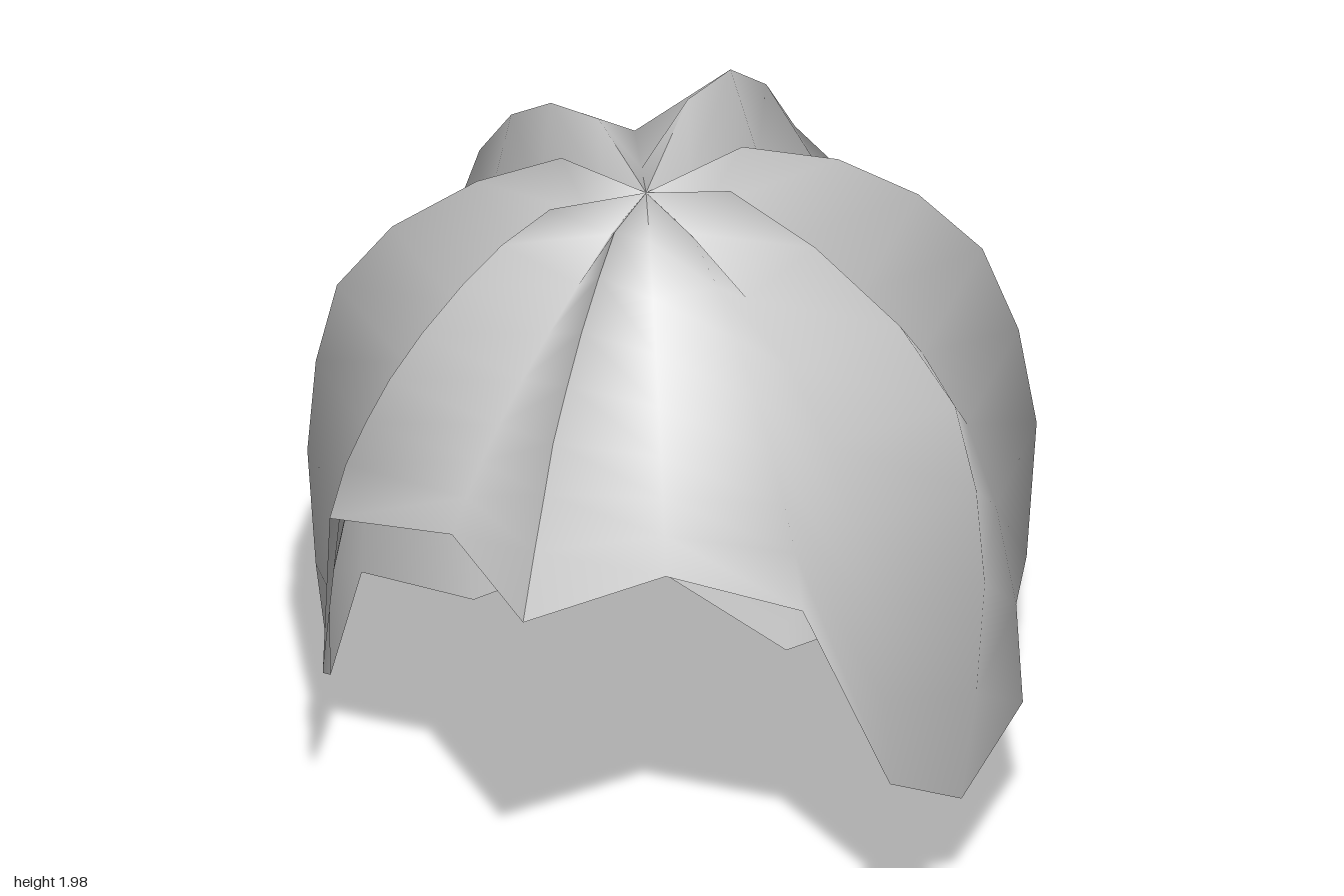
import * as THREE from 'three';

// Half the lock profiles, from front centre round to back centre.
// Each is radius, height pairs from the crown down to the hem; ridges and furrows alternate.
const PROFILES = [
  [.22, 1.96, .33, 1.91, .45, 1.84, .55, 1.76, .65, 1.67, .71, 1.57, .78, 1.46, .86, 1.32],
  [.12, 1.87, .23, 1.79, .33, 1.71, .42, 1.63, .50, 1.55, .56, 1.48, .61, 1.41, .66, 1.335],
  [.24, 1.95, .36, 1.89, .46, 1.81, .56, 1.71, .64, 1.61, .70, 1.51, .75, 1.41, .79, 1.275],
  [.13, 1.87, .30, 1.77, .43, 1.64, .54, 1.48, .62, 1.29, .67, 1.08, .71, .86, .725, .635],
  [.20, 1.97, .40, 1.86, .60, 1.69, .73, 1.50, .78, 1.28, .80, 1.03, .78, .72, .745, .425],
  [.13, 1.87, .32, 1.77, .48, 1.62, .62, 1.45, .72, 1.25, .785, 1.02, .83, .75, .845, .48],
  [.24, 1.97, .48, 1.86, .68, 1.70, .84, 1.50, .93, 1.25, .975, .98, .95, .62, .87, .245],
  [.15, 1.88, .38, 1.82, .60, 1.65, .80, 1.45, .93, 1.21, 1.00, .95, .99, .63, .92, .295],
  [.29, 1.98, .59, 1.86, .84, 1.65, 1.04, 1.40, 1.14, 1.10, 1.14, .78, 1.08, .45, .98, 0],
];
const SECTORS = 16;
const ROWS = 8;
const CROWN_Z = 0.14;

function hairGeometry() {
  const positions = [];
  const index = [];
  const at = (row, k) => row * (SECTORS + 1) + k;

  // rows of points below a crown row, closing with a seam at the front centre
  for (let row = 0; row <= ROWS; row++) {
    for (let k = 0; k <= SECTORS; k++) {
      const profile = PROFILES[Math.min(k, SECTORS - k)];
      const r = row ? profile[row * 2 - 2] : 0;
      const y = row ? profile[row * 2 - 1] : 1.92;
      const a = (k / SECTORS) * Math.PI * 2;
      positions.push(r * Math.sin(a), y, CROWN_Z + r * Math.cos(a));
    }
  }

  for (let k = 0; k < SECTORS; k++) {
    index.push(at(0, k), at(1, k), at(1, k + 1)); // crown fan
    for (let row = 1; row < ROWS; row++) {
      const a = at(row, k), b = at(row, k + 1);
      const c = at(row + 1, k), d = at(row + 1, k + 1);
      // mirrored diagonals keep both sides alike
      if (k < SECTORS / 2) index.push(a, c, d, a, d, b);
      else index.push(a, c, b, b, c, d);
    }
  }

  const geometry = new THREE.BufferGeometry();
  geometry.setAttribute('position', new THREE.Float32BufferAttribute(positions, 3));
  geometry.setIndex(index);
  geometry.computeVertexNormals();
  return geometry;
}

export function createModel() {
  const model = new THREE.Group();
  model.name = 'hair';

  const grey = new THREE.MeshStandardMaterial({ color: 0xcccccc, side: THREE.DoubleSide });
  grey.name = 'light grey';

  // open shell of hair with a raised fringe and a pointed nape
  const shell = new THREE.Mesh(hairGeometry(), grey);
  shell.name = 'hairShell';
  model.add(shell);
  return model;
}
